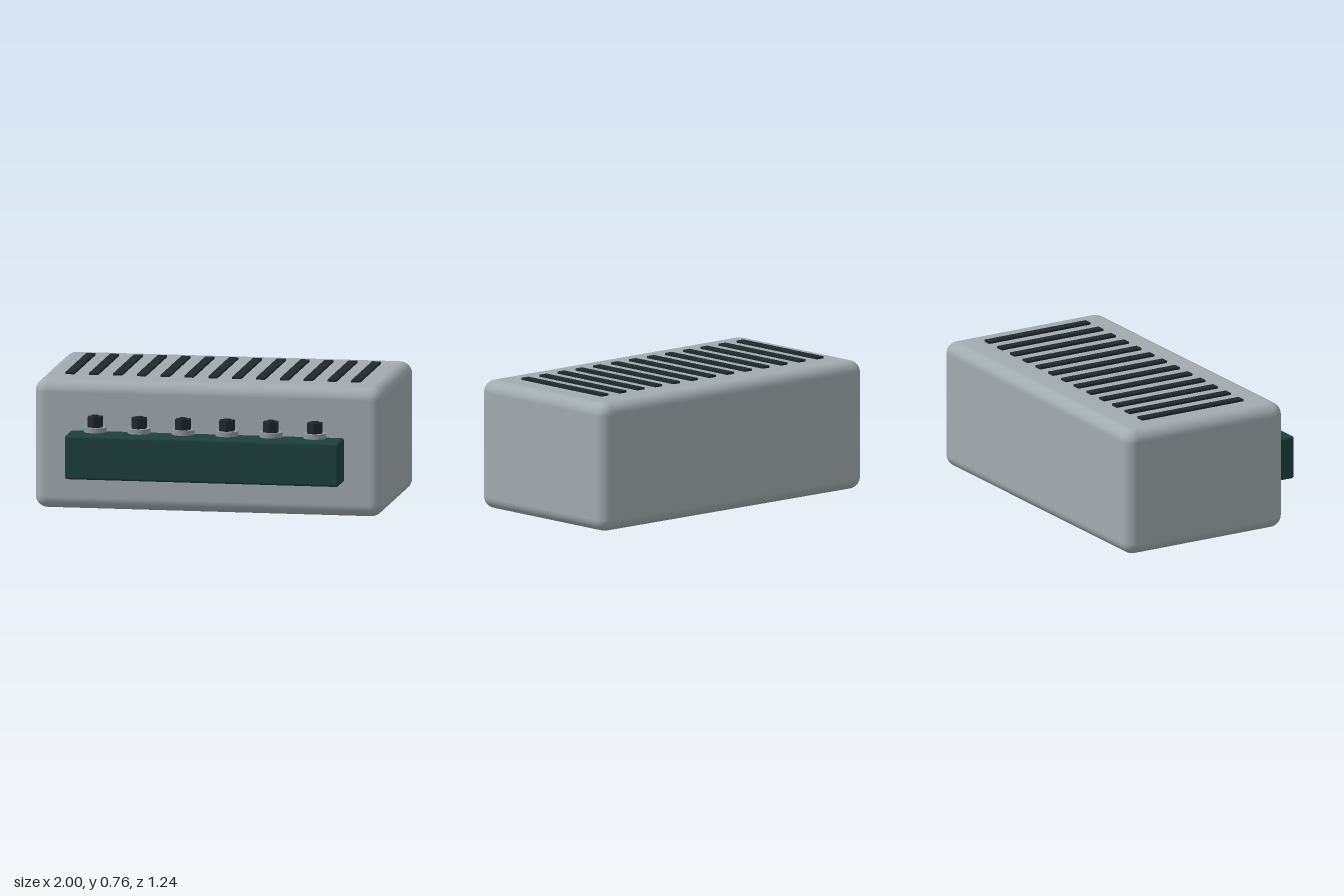
import * as THREE from 'three';
import { RoundedBoxGeometry } from 'three/addons/geometries/RoundedBoxGeometry.js';

const paint = (color) => new THREE.MeshStandardMaterial({ color });

function addMesh(parent, name, geometry, material, x, y, z) {
  const mesh = new THREE.Mesh(geometry, material);
  mesh.name = name;
  mesh.position.set(x, y, z);
  parent.add(mesh);
  return mesh;
}

export function createModel() {
  const model = new THREE.Group();
  model.name = 'ventedTerminalBox';

  const shell = paint(0xa2abb0);
  const green = paint(0x1d403b);
  const dark = paint(0x1e282e);
  const metal = paint(0x8f989c);

  // Rounded housing
  addMesh(model, 'housing', new RoundedBoxGeometry(2, 0.74, 1.05, 5, 0.07), shell, 0, 0.37, -0.095);

  // Vent strips along the top
  const vents = new THREE.Group();
  vents.name = 'vents';
  model.add(vents);
  const ventGeometry = new THREE.BoxGeometry(0.052, 0.012, 0.675);
  for (let i = 0; i < 13; i++) {
    addMesh(vents, 'vent', ventGeometry, dark, -0.004 + (i - 6) * 0.137, 0.75, -0.095);
  }

  // Terminal block on the front
  addMesh(model, 'terminalBlock', new RoundedBoxGeometry(1.576, 0.252, 0.25, 3, 0.015), green, -0.003, 0.328, 0.495);

  // Terminal screws: washer, hexagonal head and small centre cap
  const washerGeometry = new THREE.CylinderGeometry(0.065, 0.065, 0.028, 20);
  const headGeometry = new THREE.CylinderGeometry(0.047, 0.047, 0.06, 6);
  const capGeometry = new THREE.CylinderGeometry(0.022, 0.022, 0.007, 6);
  headGeometry.computeVertexNormals();
  const headMaterial = paint(0x1e282e);
  headMaterial.flatShading = true;
  for (let i = 0; i < 6; i++) {
    const screw = new THREE.Group();
    screw.name = 'terminalScrew';
    screw.position.set(-0.004 + (i - 2.5) * 0.2527, 0, 0.495);
    model.add(screw);
    addMesh(screw, 'washer', washerGeometry, metal, 0, 0.475, 0);
    addMesh(screw, 'screwHead', headGeometry, headMaterial, 0, 0.519, 0);
    addMesh(screw, 'screwCap', capGeometry, headMaterial, 0, 0.5525, 0);
  }

  return model;
}
